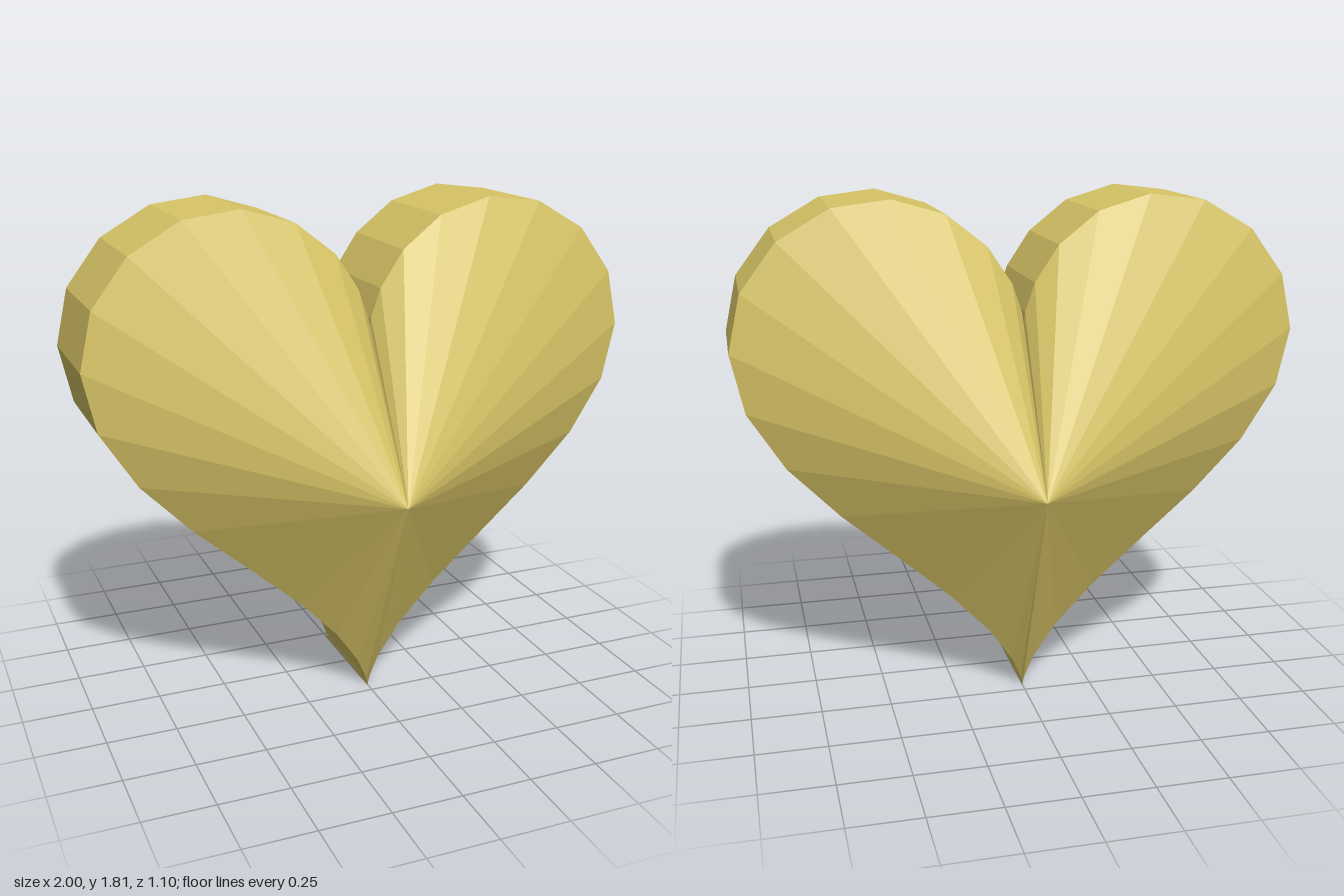
import * as THREE from 'three';

const STEPS = 36;
const HALF_RIM = 0.21;
const APEX = [0, 0.83, 0.55];

// Heart curve sampled clockwise from the notch, resting on y = 0
function heartOutline() {
  return Array.from({ length: STEPS }, (_, i) => {
    const t = (i / STEPS) * Math.PI * 2;
    const x = Math.sin(t) ** 3;
    const y = (13 * Math.cos(t) - 5 * Math.cos(2 * t) - 2 * Math.cos(3 * t) - Math.cos(4 * t) + 17) / 16;
    return [x, y];
  });
}

function facetedMesh(name, positions, material) {
  const geometry = new THREE.BufferGeometry();
  geometry.setAttribute('position', new THREE.Float32BufferAttribute(positions, 3));
  geometry.computeVertexNormals(); // unshared corners give flat facets
  const mesh = new THREE.Mesh(geometry, material);
  mesh.name = name;
  return mesh;
}

export function createModel() {
  const group = new THREE.Group();
  group.name = 'heart';
  const gold = new THREE.MeshStandardMaterial({ color: 0xd9c667 });
  gold.name = 'gold';

  const outline = heartOutline();
  const front = [], rim = [];
  outline.forEach(([ax, ay], i) => {
    const [bx, by] = outline[(i + 1) % STEPS];
    const a = [ax, ay, HALF_RIM], b = [bx, by, HALF_RIM];
    const c = [ax, ay, -HALF_RIM], d = [bx, by, -HALF_RIM];
    front.push(...APEX, ...b, ...a);
    rim.push(...a, ...b, ...c, ...b, ...d, ...c);
  });

  // Fan-shaped front, its half-turned twin at the back, and the straight rim
  const frontFace = facetedMesh('frontFacets', front, gold);
  const backFace = frontFace.clone();
  backFace.name = 'backFacets';
  backFace.rotation.y = Math.PI;
  group.add(frontFace, backFace, facetedMesh('rim', rim, gold));
  return group;
}
